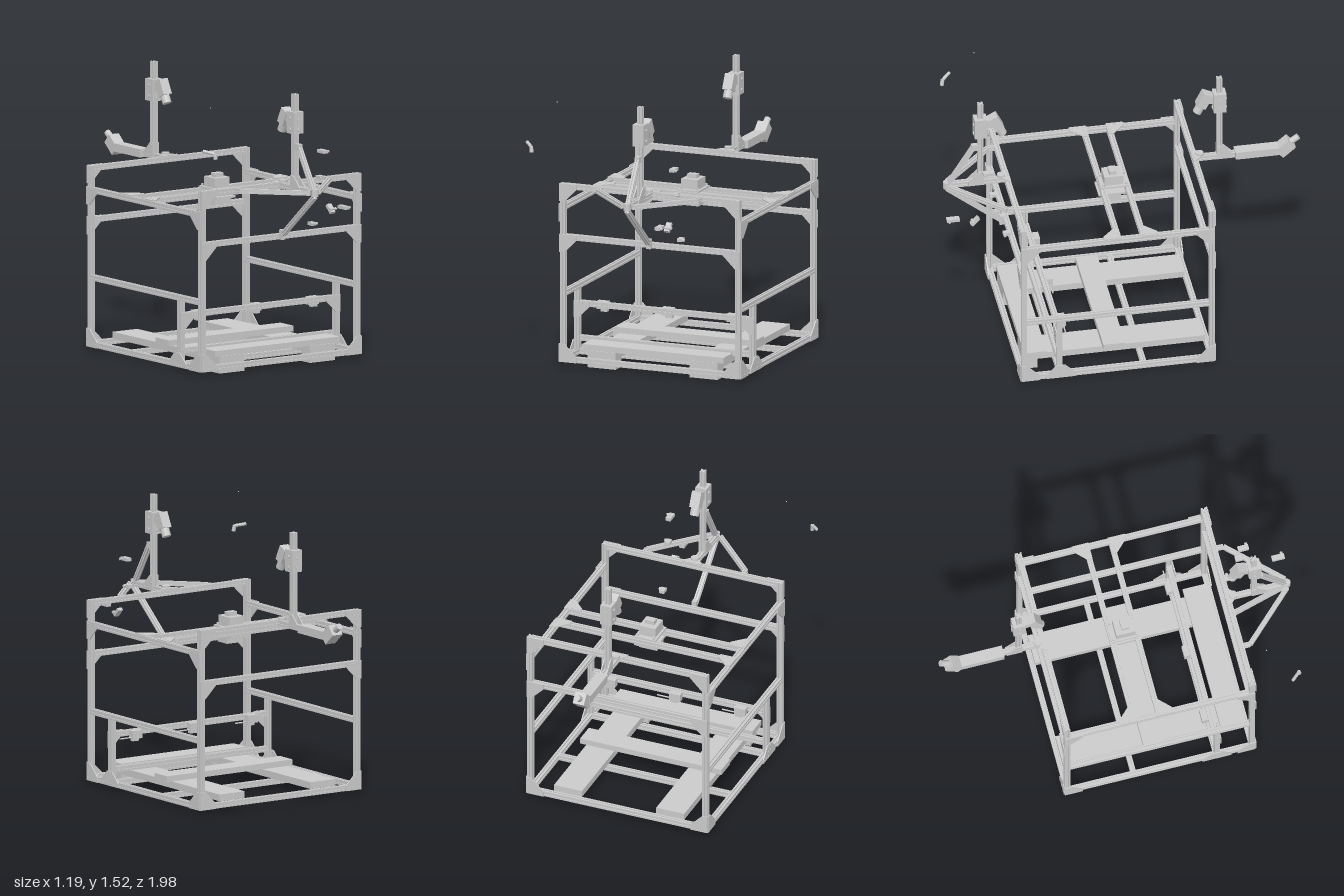
import * as THREE from 'three';

const V = (x, y, z) => new THREE.Vector3(x, y, z);
const XL = -0.462, XR = 0.567, XC = 0.053, ZF = 0.62, ZB = -0.412, W = 0.03;

export function createModel() {
  const model = new THREE.Group();
  const mat = new THREE.MeshStandardMaterial({ color: 0xcccccc, flatShading: true });

  const add = (name, geo, parent = model) => {
    const m = new THREE.Mesh(geo, mat);
    m.name = name;
    parent.add(m);
    return m;
  };

  // Box given by its two extreme corners
  const box = (name, x0, x1, y0, y1, z0, z1) => {
    const m = add(name, new THREE.BoxGeometry(x1 - x0, y1 - y0, z1 - z0));
    m.position.set((x0 + x1) / 2, (y0 + y1) / 2, (z0 + z1) / 2);
    return m;
  };

  // Box running from a to b, w wide across x and h deep
  const beam = (name, a, b, w, h) => {
    const m = add(name, new THREE.BoxGeometry(w, h, a.distanceTo(b)));
    m.position.copy(a).add(b).multiplyScalar(0.5);
    m.lookAt(b);
    return m;
  };

  const rod = (name, a, b, r, sides = 12) => {
    const m = add(name, new THREE.CylinderGeometry(r, r, a.distanceTo(b), sides));
    m.position.copy(a).add(b).multiplyScalar(0.5);
    m.quaternion.setFromUnitVectors(V(0, 1, 0), b.clone().sub(a).normalize());
    return m;
  };

  // Square aluminium profile with one slot on each side
  const slotted = (w) => {
    const h = w / 2, s = w * 0.13, d = w * 0.22, pts = [];
    const side = [[-h, -h], [-s, -h], [-s, -h + d], [s, -h + d], [s, -h]];
    for (let i = 0; i < 4; i++) {
      const c = Math.round(Math.cos(i * Math.PI / 2)), n = Math.round(Math.sin(i * Math.PI / 2));
      for (const [x, y] of side) pts.push(new THREE.Vector2(x * c - y * n, x * n + y * c));
    }
    return new THREE.Shape(pts);
  };
  const bar = (name, a, b, w = W) => {
    const m = add(name, new THREE.ExtrudeGeometry(slotted(w), { depth: a.distanceTo(b), bevelEnabled: false }));
    m.position.copy(a);
    m.lookAt(b);
    return m;
  };

  // Corner plate spanning directions u and v, with bolt heads on both faces
  const gusset = (name, p, u, v, size = 0.1) => {
    const k = size, c = size * 0.3, t = 0.006;
    const s = new THREE.Shape([[0, 0], [k, 0], [k, c], [c, k], [0, k]].map(([x, y]) => new THREE.Vector2(x, y)));
    const geo = new THREE.ExtrudeGeometry(s, { depth: t, bevelEnabled: false });
    geo.translate(0, 0, -t / 2);
    const m = add(name, geo);
    m.matrixAutoUpdate = true;
    m.quaternion.setFromRotationMatrix(new THREE.Matrix4().makeBasis(u, v, u.clone().cross(v)));
    m.position.copy(p);
    for (const [x, y] of [[.15, .15], [.5, .15], [.85, .15], [.15, .5], [.15, .85]]) {
      const bolt = add('bolt', new THREE.CylinderGeometry(0.005, 0.005, 0.01, 8), m);
      bolt.rotation.x = Math.PI / 2;
      bolt.position.set(x * k, y * k, 0);
    }
  };

  // Main frame: posts, cross bars, side bars
  for (const x of [XL, XR]) {
    for (const z of [ZF, ZB]) bar('cornerPost', V(x, 0.027, z), V(x, 1.017, z));
    for (const y of [0.04, 0.405, 0.885]) bar('sideBar', V(x, y, ZB + W / 2), V(x, y, ZF - W / 2));
    bar('shortPost', V(x, 0.055, 0.425), V(x, 0.39, 0.425));
  }
  const cross = (name, y, z) => bar(name, V(XL + W / 2, y, z), V(XR - W / 2, y, z));
  for (const z of [ZF, ZB]) for (const y of [0.04, 0.72, 1.002]) cross('crossBar', y, z);
  for (const z of [0.42, -0.04]) cross('floorBar', 0.04, z);
  for (const z of [-0.038, 0.1]) cross('gantryBar', 0.887, z);
  cross('sensorBar', 0.308, 0.42);
  cross('lowerBar', 0.115, 0.42);

  // Corner plates on every face of the frame
  for (const s of [-1, 1]) {
    const ex = s < 0 ? XL - 0.016 : XR + 0.016;
    const inX = V(-s, 0, 0), up = V(0, 1, 0), down = V(0, -1, 0);
    for (const f of [-1, 1]) {
      const ez = f < 0 ? ZB - 0.016 : ZF + 0.016, inZ = V(0, 0, -f);
      const pz = ez + f * 0.003, px = ex + s * 0.003;
      gusset('cornerPlate', V(ex, 0.025, pz), inX, up);
      gusset('cornerPlate', V(ex, 0.736, pz), inX, down);
      gusset('cornerPlate', V(ex, 1.018, pz), inX, down);
      gusset('sidePlate', V(px, 0.025, ez), inZ, up);
      gusset('sidePlate', V(px, 0.904, ez), inZ, down);
    }
    gusset('gantryPlate', V(ex, 0.905, -0.022), inX, V(0, 0, -1), 0.095);
    gusset('gantryPlate', V(ex, 0.905, 0.086), inX, V(0, 0, 1), 0.095);
    gusset('sensorPlate', V(ex, 0.325, 0.443), inX, down, 0.095);
    for (const f of [-1, 1]) gusset('postPlate', V(ex + s * 0.003, 0.027, 0.42), V(0, 0, f), up, 0.08);
  }

  // Floor planks and feet
  for (const [a, b] of [[-0.33, -0.165], [0.27, 0.435]]) {
    box('longPlank', a, b, 0.056, 0.093, -0.4, 0.6);
    box('foot', a, b, 0, 0.093, 0.52, 0.6);
  }
  box('crossPlank', -0.36, 0.47, 0.094, 0.126, 0.045, 0.165);
  box('frontPlank', -0.36, 0.47, 0.094, 0.126, 0.476, 0.6);

  // Sensors hanging behind the low bar
  for (const x of [-0.36, 0.022, 0.403]) {
    box('sensorBody', x, x + 0.065, 0.278, 0.322, 0.37, 0.404);
    rod('sensorRod', V(x + 0.06, 0.285, 0.385), V(x + 0.14, 0.285, 0.385), 0.004, 8);
    box('sensorTip', x + 0.02, x + 0.06, 0.265, 0.28, 0.375, 0.4);
  }

  // Carriage riding on the gantry bars
  box('carriagePlate', -0.01, 0.115, 0.903, 0.913, -0.045, 0.112);
  box('carriageUnderside', -0.01, 0.115, 0.858, 0.87, -0.045, 0.125);
  box('carriageMotor', 0, 0.105, 0.822, 0.858, 0, 0.09);
  box('carriageBlock', 0.003, 0.1, 0.913, 0.968, -0.015, 0.09);
  box('carriageCap', 0.025, 0.08, 0.968, 0.99, 0.02, 0.06);
  for (const x of [0.005, 0.1]) for (const z of [-0.03, 0.095])
    rod('carriageBolt', V(x, 0.85, z), V(x, 0.925, z), 0.007, 8);

  // Front bracket: centre bar, two splayed struts, a lower and an upper brace
  const tip = V(XC, 1.002, 0.95);
  bar('frontArm', V(XC, 1.002, ZF + 0.015), tip);
  for (const s of [-1, 1]) {
    const root = V(XC + s * 0.29, 1.002, 0.67);
    bar('splayedStrut', root, V(XC + s * 0.025, 1.002, 0.945), 0.025);
    bar('strutEnd', V(root.x, 1.002, ZF + 0.015), root, 0.025);
  }
  bar('lowerBrace', V(XC, 0.735, 0.655), V(XC, 0.98, 0.95), 0.025);
  box('lowerBraceFoot', XC - 0.013, XC + 0.013, 0.705, 0.76, 0.635, 0.66);
  bar('upperBrace', V(XC, 1.0, 0.945), V(XC, 1.23, 0.805), 0.025);
  box('upperBraceEnd', XC - 0.013, XC + 0.013, 1.215, 1.25, 0.78, 0.815);
  rod('tipJoint', V(XC, 0.982, 0.95), V(XC, 1.022, 0.95), 0.02, 16);

  // Back bracket: arm with an angled unit on the end
  bar('backArm', V(XC, 1.002, ZB - 0.015), V(XC, 1.002, -0.64));
  box('armCase', 0.02, 0.085, 0.982, 1.027, -0.89, -0.635);
  beam('armHead', V(XC, 0.985, -0.875), V(XC, 1.045, -0.945), 0.065, 0.065);
  rod('armLens', V(XC, 1.04, -0.94), V(XC, 1.07, -0.985), 0.018, 16);

  // Masts with tilted heads that look inwards
  for (const [z, d, y0] of [[0.765, -1, 1.017], [-0.55, 1, 1.017]]) {
    bar('mast', V(XC, y0, z), V(XC, 1.52, z));
    for (const x of [XC - 0.018, XC + 0.018])
      gusset('mastPlate', V(x, 0.99, z + d * 0.016), V(0, 0, -d), V(0, 1, 0), 0.085);
    box('mastClamp', 0.02, 0.085, 1.305, 1.425, z - 0.035, z + 0.035);
    for (const x of [0.018, 0.087]) for (const y of [1.33, 1.39])
      rod('clampBolt', V(x - 0.004, y, z), V(x + 0.004, y, z), 0.009, 10);
    for (const y of [1.325, 1.38])
      rod('clampBolt', V(XC, y, z - 0.04), V(XC, y, z + 0.04), 0.01, 10);
    beam('headMount', V(XC, 1.385, z + d * 0.03), V(XC, 1.40, z + d * 0.09), 0.045, 0.05);
    beam('tiltedHead', V(XC, 1.425, z + d * 0.065), V(XC, 1.345, z + d * 0.105), 0.055, 0.055);
    rod('headLens', V(XC, 1.35, z + d * 0.1), V(XC, 1.305, z + d * 0.123), 0.025, 16);
  }

  // Flat plates joining the arms to the top cross bars
  for (const [z, d] of [[ZF - 0.015, 1], [ZB + 0.015, -1]])
    for (const s of [-1, 1]) gusset('armPlate', V(XC, 1.021, z), V(s, 0, 0), V(0, 0, d), 0.055);
  for (const [z, d] of [[ZF, 1], [ZB, -1]])
    rod('armPivot', V(XC, 1.02, z + d * 0.03), V(XC, 1.035, z + d * 0.03), 0.022, 16);

  // Loose hinge fittings beside the front bracket
  for (const [y, z, dy, dz] of [[1.185, 0.755, 0, 0.06], [1.04, 0.73, 0, 0.04], [0.905, 0.95, 0, 0.07],
    [0.88, 0.83, -0.04, 0.04], [0.775, 0.655, 0, 0.04]]) {
    beam('looseHinge', V(0.243, y - dy / 2, z - dz / 2), V(0.243, y + dy / 2, z + dz / 2), 0.03, 0.018);
    rod('looseHingePin', V(0.228, y, z + dz / 3), V(0.27, y, z + dz / 3), 0.008, 8);
  }
  rod('looseHandle', V(-0.593, 1.275, 0.815), V(-0.55, 1.262, 0.86), 0.009, 8);
  rod('looseHandleGrip', V(-0.55, 1.265, 0.86), V(-0.545, 1.232, 0.865), 0.011, 8);
  box('looseNut', -0.466, -0.461, 1.482, 1.487, 0.7, 0.705);

  return model;
}
